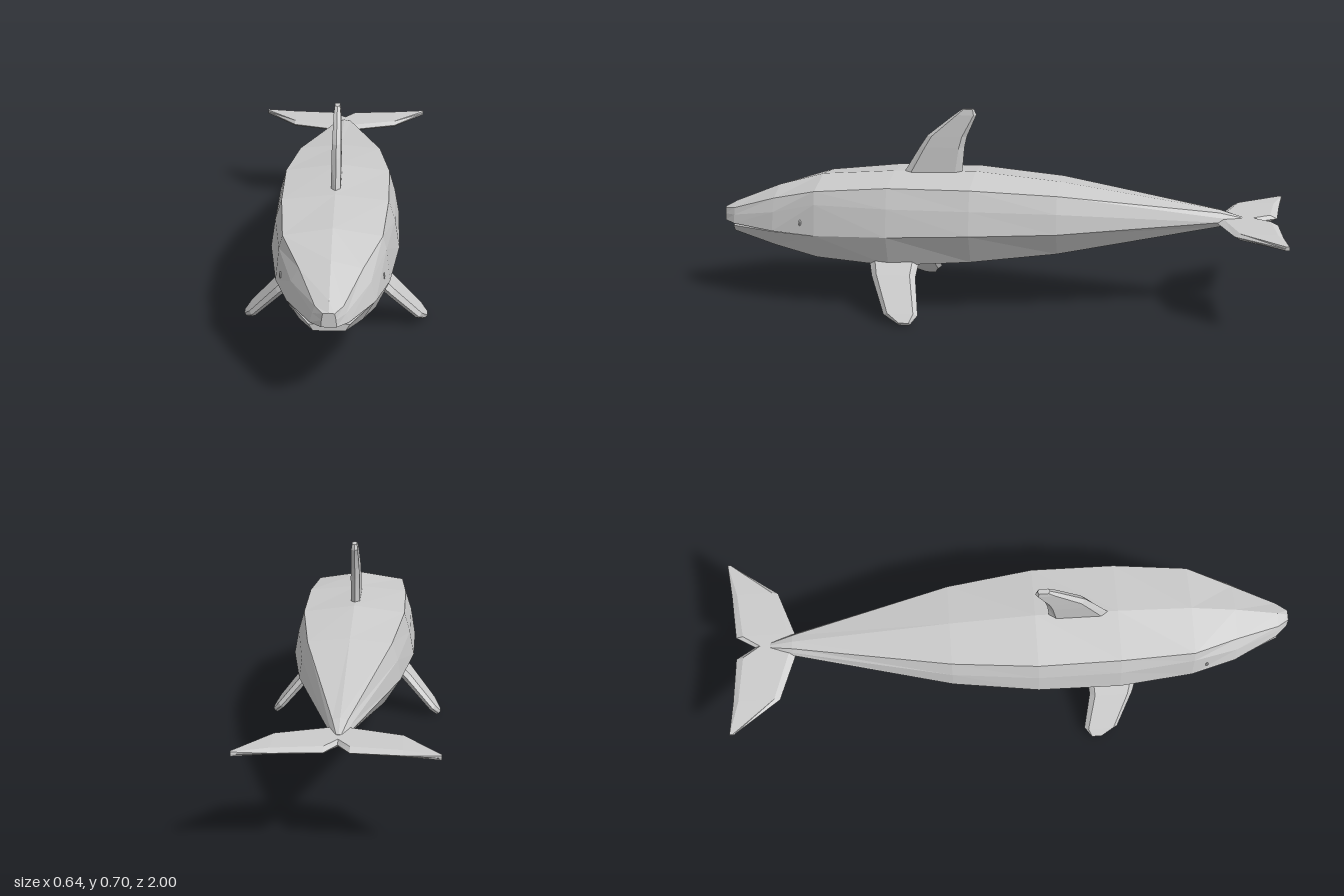
import * as THREE from 'three';

const material = new THREE.MeshStandardMaterial({ color: 0xcccccc, flatShading: true });

// Skin a list of equal-length rings, cap both ends, and turn all faces outward.
function loft(name, rings) {
  const tris = [];
  const n = rings[0].length;
  for (let r = 0; r < rings.length - 1; r++) {
    for (let i = 0; i < n; i++) {
      const j = (i + 1) % n;
      const [a, b, c, d] = [rings[r][i], rings[r][j], rings[r + 1][j], rings[r + 1][i]];
      tris.push([a, b, c], [a, c, d]);
    }
  }
  const centre = (ring) => ring.reduce((s, p) => s.add(p), new THREE.Vector3()).divideScalar(n);
  const first = rings[0], last = rings[rings.length - 1];
  const c0 = centre(first), c1 = centre(last);
  for (let i = 0; i < n; i++) {
    const j = (i + 1) % n;
    tris.push([c0, first[j], first[i]], [c1, last[i], last[j]]);
  }
  let volume = 0;
  const cross = new THREE.Vector3();
  for (const [a, b, c] of tris) volume += a.dot(cross.crossVectors(b, c));
  const points = tris.flatMap(([a, b, c]) => (volume < 0 ? [a, c, b] : [a, b, c]));
  const geometry = new THREE.BufferGeometry().setFromPoints(points);
  geometry.computeVertexNormals();
  const mesh = new THREE.Mesh(geometry, material);
  mesh.name = name;
  return mesh;
}

// Full ring from its +x half, listed from top centre to bottom centre.
function mirroredRing(z, half) {
  const right = half.map(([x, y]) => new THREE.Vector3(x, y, z));
  const left = half.slice(1, -1).reverse().map(([x, y]) => new THREE.Vector3(-x, y, z));
  return [...right, ...left];
}

// Six-sided blade section: front and back edges at z0 and z1, thickened along a normal.
function bladeRing(x, y, z0, z1, normal, t) {
  const bevel = (z1 - z0) * 0.12;
  const at = (z, k) => new THREE.Vector3(x, y, z).addScaledVector(normal, k * t);
  return [at(z0, 0), at(z0 + bevel, 1), at(z1 - bevel, 1), at(z1, 0), at(z1 - bevel, -1), at(z0 + bevel, -1)];
}

export function createModel() {
  const group = new THREE.Group();

  // Body, from behind the mouth to the tail root
  const body = [
    [0.64, [[0, 0.46], [0.16, 0.435], [0.172, 0.39], [0.184, 0.28], [0.14, 0.19], [0, 0.16]]],
    [0.38, [[0, 0.478], [0.178, 0.459], [0.2, 0.39], [0.215, 0.292], [0.166, 0.176], [0, 0.144]]],
    [0.09, [[0, 0.484], [0.18, 0.46], [0.2, 0.39], [0.215, 0.305], [0.155, 0.195], [0, 0.165]]],
    [-0.21, [[0, 0.455], [0.145, 0.44], [0.165, 0.38], [0.175, 0.31], [0.12, 0.225], [0, 0.2]]],
    [-0.77, [[0, 0.371], [0.025, 0.366], [0.035, 0.35], [0.04, 0.335], [0.025, 0.316], [0, 0.31]]],
    [-0.85, [[0, 0.347], [0.008, 0.345], [0.012, 0.34], [0.013, 0.334], [0.008, 0.324], [0, 0.322]]],
  ];
  group.add(loft('body', body.map(([z, half]) => mirroredRing(z, half))));

  // Upper jaw and forehead
  const upperJaw = [
    [0.64, [[0, 0.46], [0.16, 0.435], [0.172, 0.39], [0.184, 0.28], [0, 0.28]]],
    [0.8, [[0, 0.415], [0.1, 0.39], [0.125, 0.345], [0.14, 0.28], [0, 0.28]]],
    [0.96, [[0, 0.35], [0.044, 0.334], [0.052, 0.31], [0.06, 0.28], [0, 0.28]]],
    [1.0, [[0, 0.328], [0.018, 0.326], [0.022, 0.305], [0.024, 0.282], [0, 0.281]]],
  ];
  group.add(loft('upperJaw', upperJaw.map(([z, half]) => mirroredRing(z, half))));

  // Lower jaw, slightly shorter and parted from the upper one
  const lowerJaw = [
    [0.64, [[0, 0.28], [0.184, 0.28], [0.14, 0.19], [0, 0.16]]],
    [0.8, [[0, 0.277], [0.136, 0.277], [0.1, 0.218], [0, 0.204]]],
    [0.96, [[0, 0.274], [0.064, 0.274], [0.05, 0.252], [0, 0.25]]],
  ];
  group.add(loft('lowerJaw', lowerJaw.map(([z, half]) => mirroredRing(z, half))));

  // Dorsal fin, swept backward
  const across = new THREE.Vector3(1, 0, 0);
  group.add(loft('dorsalFin', [
    [0.46, 0.14, 0.355, 0.016],
    [0.57, 0.13, 0.288, 0.016],
    [0.61, 0.121, 0.262, 0.015],
    [0.688, 0.087, 0.165, 0.012],
    [0.708, 0.095, 0.137, 0.009],
  ].map(([y, z0, z1, t]) => bladeRing(0, y, z0, z1, across, t))));

  for (const [side, s] of [['left', 1], ['right', -1]]) {
    // Pectoral flipper, angled down and out
    const flipperNormal = new THREE.Vector3(0.75 * s, 0.66, 0);
    group.add(loft(side + 'Flipper', [
      [0.135, 0.205, 0.27, 0.455, 0.016],
      [0.19, 0.143, 0.28, 0.435, 0.016],
      [0.285, 0.036, 0.258, 0.378, 0.013],
      [0.308, 0.011, 0.28, 0.325, 0.01],
    ].map(([x, y, z0, z1, t]) => bladeRing(x * s, y, z0, z1, flipperNormal, t))));

    // Tail fluke half
    const up = new THREE.Vector3(0, 1, 0);
    group.add(loft(side + 'Fluke', [
      [0, -0.905, -0.75, 0.012],
      [0.04, -0.972, -0.762, 0.012],
      [0.2, -0.985, -0.82, 0.011],
      [0.318, -1.0, -0.985, 0.007],
    ].map(([x, z0, z1, t]) => bladeRing(x * s, 0.333, z0, z1, up, t))));

    // Eye
    const eye = new THREE.Mesh(new THREE.SphereGeometry(0.012, 8, 6), material);
    eye.name = side + 'Eye';
    eye.scale.set(0.4, 1, 0.5);
    eye.position.set(0.164 * s, 0.32, 0.692);
    eye.rotation.y = 0.3 * s;
    group.add(eye);
  }
  return group;
}
